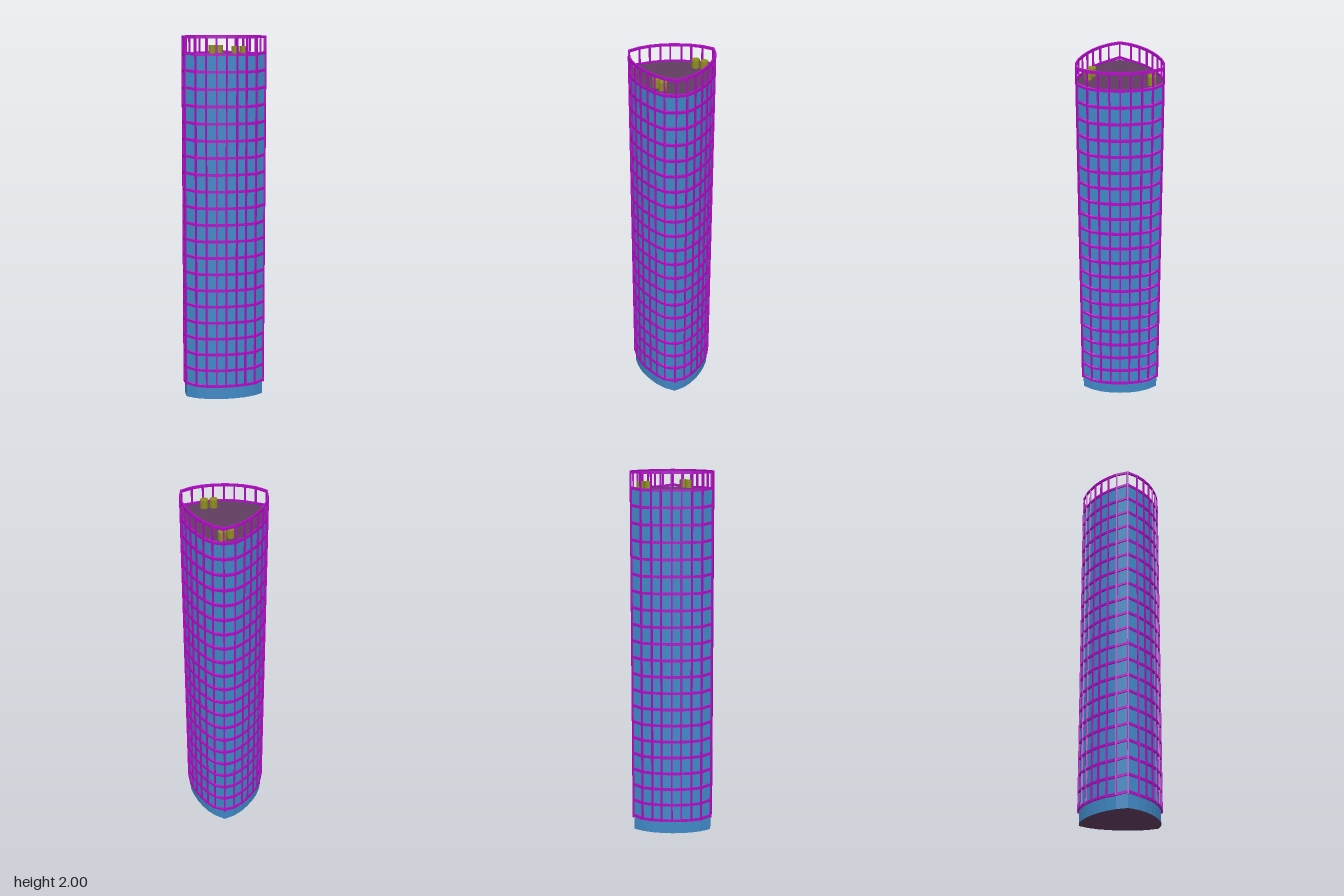
import * as THREE from 'three';
import { mergeGeometries } from 'three/addons/utils/BufferGeometryUtils.js';

const mat = (name, color) => {
  const m = new THREE.MeshStandardMaterial({ color });
  m.name = name;
  return m;
};

// Half plan from the front tip round to the middle of the back, as [x, z]
const HALF = [
  [0, 0.225], [0.06, 0.195], [0.105, 0.157], [0.143, 0.113], [0.172, 0.068], [0.197, 0.015],
  [0.215, -0.035], [0.226, -0.095], [0.222, -0.16], [0.168, -0.195], [0.113, -0.215],
  [0.055, -0.225], [0, -0.228],
];
const PLAN = [...HALF, ...HALF.slice(1, -1).reverse().map(([x, z]) => [-x, z])];
const CORNERS = [HALF[0], HALF[8], [-HALF[8][0], HALF[8][1]]];

const scaled = (s) => PLAN.map(([x, z]) => new THREE.Vector2(x * s, -z * s));

// Upright prism from the plan, optionally hollow
function prism(outer, inner, y, height) {
  const shape = new THREE.Shape(scaled(outer));
  if (inner) shape.holes.push(new THREE.Path(scaled(inner)));
  const g = new THREE.ExtrudeGeometry(shape, { depth: height, bevelEnabled: false });
  return g.rotateX(-Math.PI / 2).translate(0, y, 0);
}

export function createModel() {
  const group = new THREE.Group();
  const glass = mat('blue glass', 0x3f88c5);
  const roof = mat('roof plum', 0x603d60);
  const frame = mat('purple frame', 0xb00cc4);
  const vent = mat('olive vent', 0x8e8c22);
  const add = (name, geometry, material) => {
    const mesh = new THREE.Mesh(geometry, material);
    mesh.name = name;
    group.add(mesh);
  };

  // Glass tower with roof and underside
  add('tower', prism(0.962, 0, 0, 1.9), [roof, glass]);

  // Floor bands, raised slightly at the three corners, and the top rail
  const bands = [];
  const count = 22, h = 0.014;
  for (let i = 0; i < count; i++) {
    const g = prism(1, 0.957, 0.068 + (i * (2 - h - 0.068)) / (count - 1), h);
    const p = g.attributes.position;
    if (i < count - 1) {
      for (let k = 0; k < p.count; k++) {
        const near = CORNERS.some(([x, z]) => Math.hypot(p.getX(k) - x, p.getZ(k) - z) < 0.025);
        if (near) p.setY(k, p.getY(k) + 0.01);
      }
      g.computeVertexNormals();
    }
    bands.push(g);
  }
  add('floorBands', mergeGeometries(bands), frame);

  // Upright mullions at every plan point, rising past the roof
  const mullions = PLAN.map(([x, z]) =>
    new THREE.BoxGeometry(0.008, 1.925, 0.009)
      .rotateY(Math.atan2(x, z))
      .translate(x * 0.98, 1.0325, z * 0.98));
  add('mullions', mergeGeometries(mullions), frame);

  // Roof vents
  const spots = [[-0.16, -0.133], [-0.16, -0.084], [0.161, -0.055], [0.143, -0.01]];
  for (const [x, z] of spots) {
    add('roofVent', new THREE.CylinderGeometry(0.021, 0.021, 0.046, 20).translate(x, 1.922, z), vent);
  }
  return group;
}
